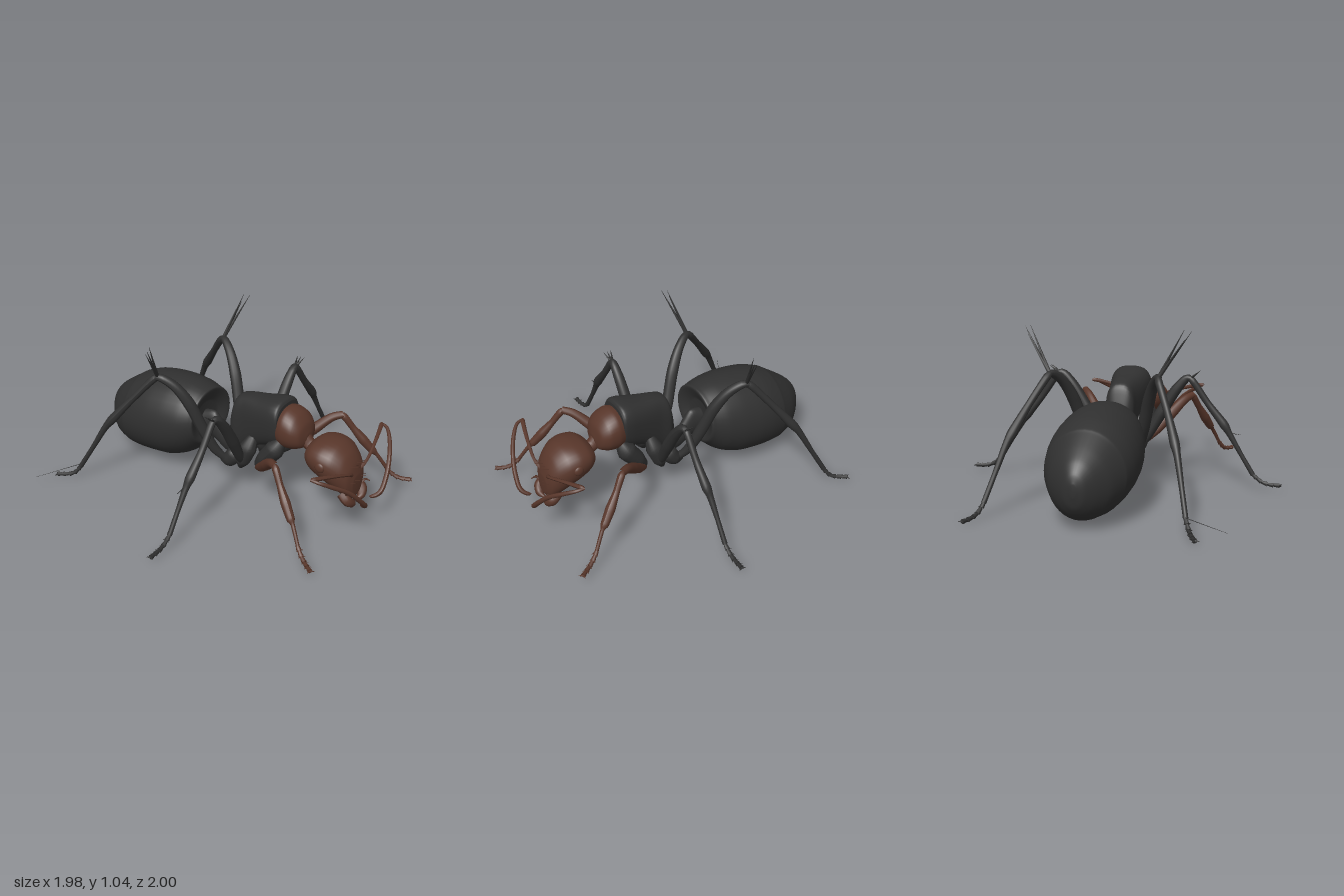
import * as THREE from 'three';

const black = new THREE.MeshStandardMaterial({ color: 0x303030 });
black.name = 'charcoal shell';
const brown = new THREE.MeshStandardMaterial({ color: 0x58362a });
brown.name = 'reddish brown shell';
const V = (p) => new THREE.Vector3(p[0], p[1], p[2]);

// Body shell lofted along x; each section is [x, top, bottom, halfWidth].
// box < 1 squares the section off, egg narrows the underside.
function shell(name, mat, sections, box = 1, egg = 0) {
  const outline = new THREE.CatmullRomCurve3(sections.map(V), false, 'catmullrom', 0.4);
  const widths = new THREE.CatmullRomCurve3(sections.map((s) => V([s[3], 0, 0])), false, 'catmullrom', 0.4);
  const rings = (sections.length - 1) * 5, sides = 36, pos = [], idx = [];
  const bend = (v) => Math.sign(v) * Math.abs(v) ** box;
  for (let i = 0; i <= rings; i++) {
    const p = outline.getPoint(i / rings), w = widths.getPoint(i / rings).x;
    for (let j = 0; j < sides; j++) {
      const a = (j / sides) * Math.PI * 2, s = bend(Math.sin(a));
      pos.push(p.x, (p.y + p.z) / 2 + ((p.y - p.z) / 2) * s, w * bend(Math.cos(a)) * (1 + egg * s));
      if (i < rings) {
        const k = i * sides + j, n = i * sides + ((j + 1) % sides);
        idx.push(k, k + sides, n, n, k + sides, n + sides);
      }
    }
  }
  // end caps
  for (const i of [0, rings]) {
    const p = outline.getPoint(i / rings), c = pos.length / 3;
    pos.push(p.x, (p.y + p.z) / 2, 0);
    for (let j = 0; j < sides; j++) {
      const k = i * sides + j, n = i * sides + ((j + 1) % sides);
      if (i === 0) idx.push(c, k, n);
      else idx.push(c, n, k);
    }
  }
  const g = new THREE.BufferGeometry();
  g.setAttribute('position', new THREE.Float32BufferAttribute(pos, 3));
  g.setIndex(idx);
  g.computeVertexNormals();
  const m = new THREE.Mesh(g, mat);
  m.name = name;
  return m;
}

// Tube of changing thickness through points [x, y, z, radius].
function limb(name, mat, pts, side = 1, sides = 12) {
  const curve = new THREE.CatmullRomCurve3(pts.map((p) => V([p[0], p[1], p[2] * side])));
  const n = (pts.length - 1) * 6;
  const g = new THREE.TubeGeometry(curve, n, 1, sides);
  const pos = g.attributes.position, v = new THREE.Vector3();
  for (let i = 0; i <= n; i++) {
    const c = curve.getPointAt(i / n);
    const t = curve.getUtoTmapping(i / n) * (pts.length - 1);
    const k = Math.min(Math.floor(t), pts.length - 2);
    const r = THREE.MathUtils.lerp(pts[k][3], pts[k + 1][3], t - k);
    for (let j = 0; j <= sides; j++) {
      const q = i * (sides + 1) + j;
      v.fromBufferAttribute(pos, q).sub(c).multiplyScalar(r).add(c);
      pos.setXYZ(q, v.x, v.y, v.z);
    }
  }
  g.computeVertexNormals();
  const m = new THREE.Mesh(g, mat);
  m.name = name;
  return m;
}

// Straight tapered piece from a to b.
function cone(name, mat, a, b, ra, rb, side = 1, sides = 6) {
  const A = V([a[0], a[1], a[2] * side]), B = V([b[0], b[1], b[2] * side]);
  const d = B.clone().sub(A);
  const m = new THREE.Mesh(new THREE.CylinderGeometry(rb, ra, d.length(), sides), mat);
  m.position.copy(A).add(B).multiplyScalar(0.5);
  m.quaternion.setFromUnitVectors(new THREE.Vector3(0, 1, 0), d.normalize());
  m.name = name;
  return m;
}

// Foot of flared segments, each with a pair of little spines.
function foot(name, mat, path, side) {
  const g = new THREE.Group();
  g.name = name;
  const curve = new THREE.CatmullRomCurve3(path.map(V)), n = 5;
  for (let i = 0; i < n; i++) {
    const a = curve.getPointAt(i / n).toArray(), b = curve.getPointAt((i + 1) / n).toArray();
    g.add(cone('footSegment', mat, a, b, 0.009, 0.015, side, 8));
    const dx = b[0] - a[0], dz = b[2] - a[2], l = Math.hypot(dx, dz);
    for (const s of [-1, 1]) {
      const tip = [b[0] + dx * 0.35 - (s * dz * 0.022) / l, b[1], b[2] + dz * 0.35 + (s * dx * 0.022) / l];
      g.add(cone('footSpine', mat, b, tip, 0.007, 0.001, side));
    }
  }
  return g;
}

export function createModel() {
  const ant = new THREE.Group();
  ant.name = 'ant';

  // body
  ant.add(shell('abdomen', black, [
    [-0.992, 0.29, 0.22, 0.015], [-0.975, 0.345, 0.15, 0.065], [-0.93, 0.405, 0.09, 0.12],
    [-0.86, 0.462, 0.05, 0.182], [-0.77, 0.525, 0.036, 0.23], [-0.74, 0.545, 0.034, 0.243],
    [-0.65, 0.582, 0.036, 0.261], [-0.55, 0.603, 0.046, 0.268], [-0.43, 0.615, 0.066, 0.262],
    [-0.32, 0.61, 0.12, 0.242], [-0.24, 0.592, 0.19, 0.21], [-0.21, 0.575, 0.23, 0.19], [-0.25, 0.48, 0.3, 0.1],
  ], 1, -0.02));
  ant.add(shell('waist', black, [
    [-0.26, 0.43, 0.28, 0.05], [-0.17, 0.44, 0.25, 0.04], [-0.09, 0.34, 0.2, 0.034], [0.02, 0.33, 0.18, 0.05],
  ]));
  ant.add(shell('thorax', black, [
    [-0.03, 0.44, 0.27, 0.04], [-0.005, 0.55, 0.25, 0.07], [0.025, 0.635, 0.25, 0.088], [0.09, 0.662, 0.28, 0.09],
    [0.2, 0.68, 0.35, 0.108], [0.3, 0.702, 0.39, 0.124], [0.35, 0.705, 0.41, 0.125], [0.368, 0.685, 0.43, 0.118],
  ], 0.75, 0.08));
  ant.add(shell('collar', brown, [
    [0.355, 0.665, 0.42, 0.118], [0.4, 0.67, 0.41, 0.13], [0.46, 0.645, 0.42, 0.124],
    [0.505, 0.595, 0.44, 0.09], [0.525, 0.53, 0.47, 0.03],
  ], 0.9));
  ant.add(limb('neck', brown, [[0.48, 0.5, 0, 0.05], [0.53, 0.46, 0, 0.04], [0.58, 0.44, 0, 0.05]]));
  ant.add(shell('head', brown, [
    [0.543, 0.465, 0.41, 0.05], [0.565, 0.512, 0.37, 0.11], [0.61, 0.546, 0.335, 0.148], [0.68, 0.558, 0.3, 0.163],
    [0.75, 0.548, 0.262, 0.153], [0.81, 0.505, 0.225, 0.125], [0.848, 0.445, 0.215, 0.095], [0.868, 0.37, 0.25, 0.05],
  ], 0.95, 0.12));

  // unpaired hairs
  ant.add(cone('footHair', black, [-0.82, 0.1, 0.58], [-0.96, 0.08, 0.83], 0.002, 0.0008));
  ant.add(cone('shinHair', black, [0.12, 0.36, 0.65], [0.12, 0.345, 0.74], 0.006, 0.001));

  for (const side of [1, -1]) {
    // face
    const eye = new THREE.Mesh(new THREE.SphereGeometry(0.032, 16, 12), brown);
    eye.scale.z = 0.5;
    eye.position.set(0.7, 0.44, 0.157 * side);
    eye.name = 'eye';
    ant.add(eye);
    ant.add(limb('mandible', brown, [
      [0.81, 0.27, 0.085, 0.03], [0.85, 0.235, 0.085, 0.032], [0.865, 0.205, 0.05, 0.025], [0.855, 0.195, 0.005, 0.004],
    ], side));
    ant.add(limb('feeler', brown, [[0.83, 0.25, 0.06, 0.01], [0.86, 0.29, 0.1, 0.007], [0.9, 0.3, 0.09, 0.002]], side, 6));
    for (let i = 0; i < 4; i++) {
      const z = 0.015 + i * 0.018, y = 0.44 - (i % 2) * 0.1;
      ant.add(cone('faceHair', brown, [0.84, y, z], [0.9, y + 0.025, z], 0.0025, 0.0006, side, 4));
    }
    // antenna with its elbow well out to the side
    ant.add(limb('antennaBase', brown, [
      [0.845, 0.39, 0.045, 0.016], [0.862, 0.42, 0.09, 0.009], [0.84, 0.47, 0.22, 0.011],
      [0.795, 0.512, 0.375, 0.014], [0.787, 0.512, 0.392, 0.004],
    ], side, 8));
    ant.add(limb('antennaTip', brown, [
      [0.785, 0.512, 0.385, 0.008], [0.83, 0.505, 0.375, 0.01], [0.885, 0.47, 0.32, 0.013], [0.94, 0.405, 0.23, 0.014],
      [0.97, 0.32, 0.15, 0.015], [0.972, 0.25, 0.085, 0.015], [0.935, 0.222, 0.055, 0.012], [0.92, 0.222, 0.05, 0.001],
    ], side, 8));

    // front leg
    ant.add(limb('frontHip', black, [
      [0.38, 0.47, 0.08, 0.03], [0.35, 0.41, 0.1, 0.06], [0.28, 0.32, 0.105, 0.052], [0.225, 0.25, 0.1, 0.026], [0.215, 0.24, 0.1, 0.002],
    ], side));
    ant.add(limb('frontThigh', brown, [
      [0.24, 0.25, 0.12, 0.02], [0.31, 0.31, 0.18, 0.03], [0.4, 0.4, 0.255, 0.034], [0.48, 0.475, 0.325, 0.026], [0.535, 0.495, 0.365, 0.022],
    ], side));
    ant.add(limb('frontShin', brown, [
      [0.51, 0.5, 0.35, 0.006], [0.535, 0.485, 0.365, 0.022], [0.59, 0.405, 0.395, 0.02], [0.65, 0.325, 0.425, 0.03],
      [0.71, 0.25, 0.455, 0.024], [0.725, 0.235, 0.462, 0.012], [0.79, 0.13, 0.5, 0.011],
    ], side));
    ant.add(foot('frontFoot', brown, [[0.78, 0.14, 0.495], [0.83, 0.085, 0.52], [0.87, 0.065, 0.54], [0.92, 0.06, 0.57]], side));

    // middle leg
    ant.add(limb('middleHip', black, [
      [0.17, 0.42, 0.07, 0.03], [0.15, 0.34, 0.1, 0.055], [0.12, 0.25, 0.11, 0.045], [0.1, 0.195, 0.11, 0.015],
    ], side));
    ant.add(limb('middleThigh', black, [
      [0.12, 0.22, 0.1, 0.02], [0.125, 0.3, 0.15, 0.03], [0.135, 0.45, 0.235, 0.037],
      [0.14, 0.61, 0.335, 0.032], [0.14, 0.68, 0.4, 0.024], [0.135, 0.68, 0.425, 0.018],
    ], side));
    ant.add(limb('middleShin', black, [
      [0.135, 0.695, 0.4, 0.008], [0.135, 0.67, 0.43, 0.022], [0.135, 0.53, 0.53, 0.021], [0.13, 0.4, 0.635, 0.029],
      [0.125, 0.355, 0.665, 0.02], [0.12, 0.23, 0.74, 0.014], [0.118, 0.1, 0.82, 0.015],
    ], side));
    ant.add(foot('middleFoot', black, [[0.118, 0.105, 0.815], [0.116, 0.06, 0.87], [0.115, 0.045, 0.92], [0.115, 0.043, 0.985]], side));
    for (const dx of [-0.02, 0.005, 0.03]) {
      ant.add(cone('middleKneeSpine', black, [0.135, 0.67, 0.41], [0.135 + dx, 0.725, 0.475], 0.01, 0.001, side));
    }

    // hind leg
    ant.add(limb('hindHip', black, [
      [0.06, 0.3, 0.06, 0.03], [0.04, 0.25, 0.085, 0.055], [0.0, 0.205, 0.095, 0.048], [-0.05, 0.19, 0.1, 0.015],
    ], side));
    ant.add(limb('hindThigh', black, [
      [-0.01, 0.2, 0.1, 0.02], [-0.07, 0.28, 0.145, 0.03], [-0.125, 0.41, 0.185, 0.037], [-0.195, 0.6, 0.235, 0.037],
      [-0.27, 0.715, 0.28, 0.03], [-0.345, 0.765, 0.32, 0.024], [-0.37, 0.76, 0.33, 0.018],
    ], side));
    ant.add(limb('hindShin', black, [
      [-0.34, 0.78, 0.315, 0.008], [-0.375, 0.755, 0.33, 0.023], [-0.5, 0.6, 0.41, 0.021], [-0.61, 0.455, 0.475, 0.029],
      [-0.645, 0.405, 0.495, 0.021], [-0.73, 0.24, 0.54, 0.015], [-0.81, 0.09, 0.58, 0.015],
    ], side));
    ant.add(foot('hindFoot', black, [[-0.805, 0.1, 0.575], [-0.84, 0.045, 0.6], [-0.88, 0.025, 0.62], [-0.945, 0.018, 0.655]], side));
    for (const tip of [[-0.295, 1.04, 0.46], [-0.275, 1.03, 0.5], [-0.315, 0.99, 0.47]]) {
      ant.add(cone('hindKneeSpine', black, [-0.36, 0.76, 0.32], tip, 0.012, 0.0008, side));
    }
  }
  return ant;
}
